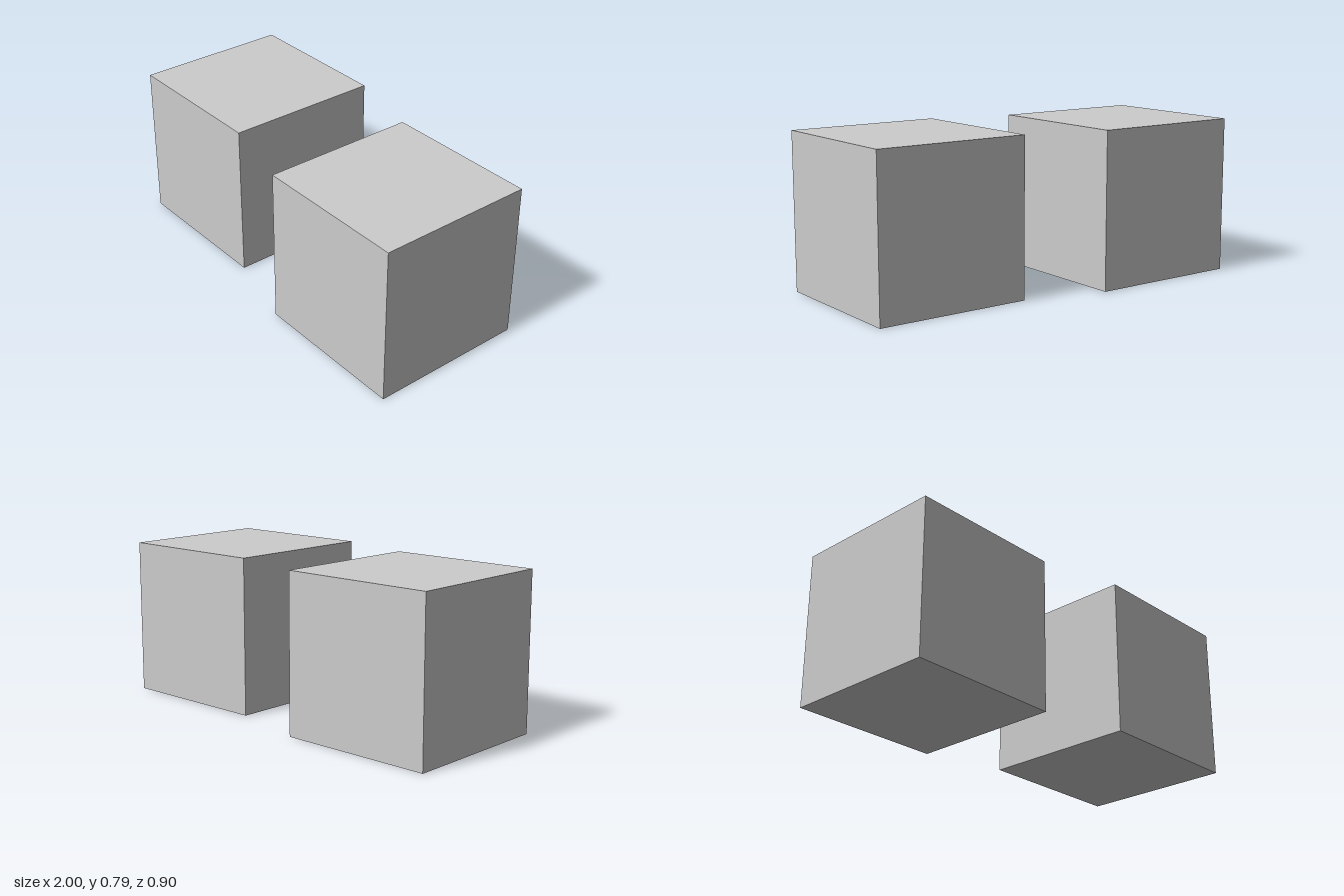
import * as THREE from 'three';

const SIZE = 0.794;     // edge length of each cube
const Z_OFFSET = 0.054; // the cubes are staggered front to back

export function createModel() {
  const group = new THREE.Group();
  group.name = 'cubePair';
  const material = new THREE.MeshStandardMaterial({ color: 0xcccccc });
  const geometry = new THREE.BoxGeometry(SIZE, SIZE, SIZE);

  // Left cube sits forward, right cube sits back
  for (const [name, side] of [['leftCube', 1], ['rightCube', -1]]) {
    const cube = new THREE.Mesh(geometry, material);
    cube.name = name;
    cube.position.set(side * (1 - SIZE / 2), SIZE / 2, side * Z_OFFSET);
    group.add(cube);
  }
  return group;
}
